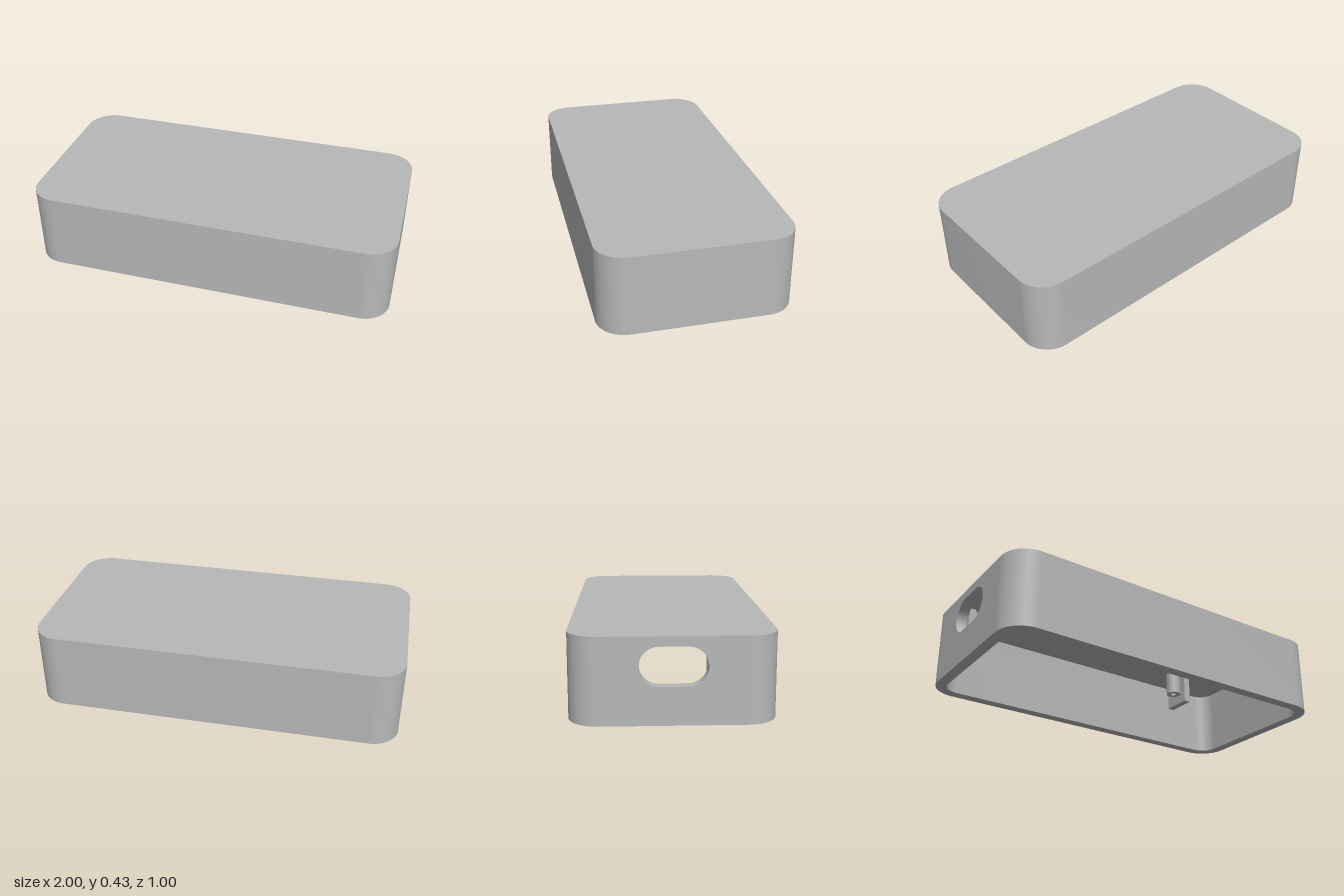
import * as THREE from 'three';
import { toCreasedNormals } from 'three/addons/utils/BufferGeometryUtils.js';

const HEIGHT = 0.427, CEILING = 0.387, WALL = 0.06, RADIUS = 0.15;
const SIDE = 0.5 - RADIUS; // half length of the straight part of the end walls

// Adds the outline from the -x end, around the +x end, and back to the -x end
function traceOutline(path, inset, reverse) {
  const r = RADIUS - inset, cx = 1 - RADIUS, cz = SIDE, q = Math.PI / 2;
  const corners = [[-cx, -cz, 2 * q, 3 * q], [cx, -cz, 3 * q, 4 * q], [cx, cz, 0, q], [-cx, cz, q, 2 * q]];
  if (reverse) corners.reverse().forEach(([x, z, a, b]) => path.absarc(x, z, r, b, a, true));
  else corners.forEach(([x, z, a, b]) => path.absarc(x, z, r, a, b, false));
}

function extrude(shape, depth) {
  const geometry = new THREE.ExtrudeGeometry(shape, { depth, bevelEnabled: false, curveSegments: 20 });
  return toCreasedNormals(geometry, 0.5);
}

export function createModel() {
  const model = new THREE.Group();
  const grey = new THREE.MeshStandardMaterial({ color: 0xb8b8b8 });
  grey.name = 'grey plastic';

  const add = (name, geometry, x = 0, y = 0, z = 0) => {
    const mesh = new THREE.Mesh(geometry, grey);
    mesh.name = name;
    mesh.position.set(x, y, z);
    model.add(mesh);
  };

  // Lid panel closing the top
  const lid = new THREE.Shape();
  traceOutline(lid, 0, false);
  lid.closePath();
  add('topPanel', extrude(lid, HEIGHT - CEILING).rotateX(-Math.PI / 2), 0, CEILING, 0);

  // Long walls, corners and the plain end, as one C-shaped band
  const band = new THREE.Shape();
  traceOutline(band, 0, false);
  traceOutline(band, WALL, true);
  band.closePath();
  add('sideWalls', extrude(band, CEILING).rotateX(-Math.PI / 2));

  // End wall with the rounded connector slot
  const end = new THREE.Shape();
  end.moveTo(-SIDE, 0);
  end.lineTo(SIDE, 0);
  end.lineTo(SIDE, CEILING);
  end.lineTo(-SIDE, CEILING);
  end.closePath();
  const slot = new THREE.Path(), slotY = 0.283, slotR = 0.095, slotHalf = 0.068;
  slot.absarc(slotHalf, slotY, slotR, -Math.PI / 2, Math.PI / 2, false);
  slot.absarc(-slotHalf, slotY, slotR, Math.PI / 2, Math.PI * 1.5, false);
  slot.closePath();
  end.holes.push(slot);
  add('slottedEndWall', extrude(end, WALL).rotateY(-Math.PI / 2), -1 + WALL, 0, 0);

  // Hollow screw posts hanging from the ceiling, each with an outer stop rib
  const ring = new THREE.Shape();
  ring.absarc(0, 0, 0.043, 0, Math.PI * 2, false);
  const bore = new THREE.Path();
  bore.absarc(0, 0, 0.018, 0, Math.PI * 2, true);
  ring.holes.push(bore);
  const postBottom = 0.243, ribBottom = 0.19;
  const postGeometry = extrude(ring, CEILING - postBottom).rotateX(-Math.PI / 2);
  const ribGeometry = new THREE.BoxGeometry(0.04, CEILING - ribBottom, 0.17);
  for (const [x, outward] of [[-0.85, -1], [0.51, 1]]) {
    for (const side of [-1, 1]) {
      add('screwPost', postGeometry, x, postBottom, side * 0.22);
      add('stopRib', ribGeometry, x + outward * 0.062, (CEILING + ribBottom) / 2, side * 0.245);
    }
  }
  return model;
}
